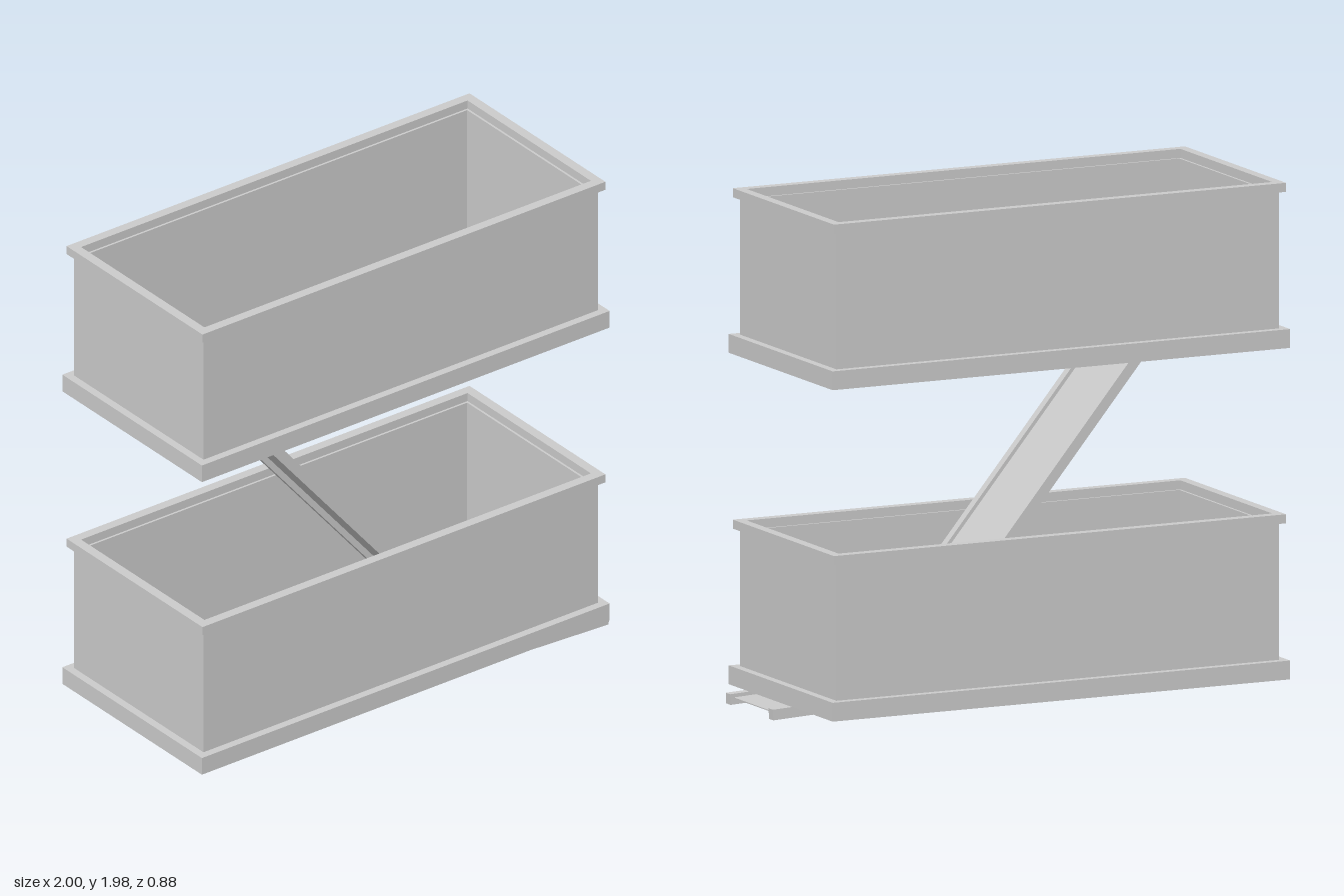
import * as THREE from 'three';

const material = new THREE.MeshStandardMaterial({ color: 0xcccccc, flatShading: true });
const CENTRE_X = -0.0225;          // tiers sit slightly right of the ramp's reach
const HALF_X = 0.9775, HALF_Z = 0.4385;
const TIER_RISE = 1.285;
const HINGE_Y = 0.117;
const HOLE = { x0: -0.64, x1: 0.38, z0: -0.02, z1: 0.378 };

// Counter-clockwise rectangle; z is flipped because the slab is laid flat later
function rect(Type, x0, x1, z0, z1) {
  const r = new Type();
  r.moveTo(x0, -z1).lineTo(x1, -z1).lineTo(x1, -z0).lineTo(x0, -z0).closePath();
  return r;
}

// Horizontal slab with a rectangular opening
function slab(name, outer, hole, y0, y1) {
  const shape = rect(THREE.Shape, ...outer);
  shape.holes.push(rect(THREE.Path, ...hole));
  const geo = new THREE.ExtrudeGeometry(shape, { depth: y1 - y0, bevelEnabled: false });
  geo.rotateX(-Math.PI / 2).translate(0, y0, 0);
  const mesh = new THREE.Mesh(geo, material);
  mesh.name = name;
  return mesh;
}

// Rectangle inset from the tier's footprint
const inset = (d) => [CENTRE_X - HALF_X + d, CENTRE_X + HALF_X - d, -HALF_Z + d, HALF_Z - d];

function box(name, x0, x1, y0, y1, z0, z1) {
  const geo = new THREE.BoxGeometry(x1 - x0, y1 - y0, z1 - z0);
  geo.translate((x0 + x1) / 2, (y0 + y1) / 2, (z0 + z1) / 2);
  const mesh = new THREE.Mesh(geo, material);
  mesh.name = name;
  return mesh;
}

// Open tray: skirt, walls, rim and a floor with the ramp opening
function makeTier() {
  const tier = new THREE.Group();
  tier.add(
    slab('skirt', inset(0), inset(0.06), 0.061, 0.134),
    slab('walls', inset(0.032), inset(0.06), 0.134, 0.665),
    slab('rim', inset(0.0115), inset(0.051), 0.665, 0.7),
    slab('floor', inset(0.059), [HOLE.x0, HOLE.x1, HOLE.z0, HOLE.z1], HINGE_Y, 0.134)
  );
  return tier;
}

// Hinged ramp: side rails, top cross rail and a thin recessed panel
function makeRamp(angle) {
  const ramp = new THREE.Group();
  const length = 1.64, thick = 0.0415, rail = 0.037;
  const { z0, z1 } = HOLE;
  ramp.add(
    box('backRail', 0, length, -thick, 0, z0, z0 + rail),
    box('frontRail', 0, length, -thick, 0, z1 - rail, z1),
    box('crossRail', 0, rail, -thick, 0, z0 + rail, z1 - rail),
    box('rampPanel', rail, length - 0.015, -0.018, -0.014, z0 + rail, z1 - rail)
  );
  ramp.position.set(HOLE.x0, HINGE_Y, 0);
  ramp.rotation.z = -angle;
  return ramp;
}

export function createModel() {
  const model = new THREE.Group();
  model.name = 'twoTierPen';
  const tilts = [0.046, 0.876];
  ['lower', 'upper'].forEach((level, i) => {
    const storey = new THREE.Group();
    storey.name = level + 'Storey';
    const tier = makeTier();
    tier.name = level + 'Tier';
    const ramp = makeRamp(tilts[i]);
    ramp.name = level + 'Ramp';
    storey.add(tier, ramp);
    storey.position.y = i * TIER_RISE;
    model.add(storey);
  });
  return model;
}
